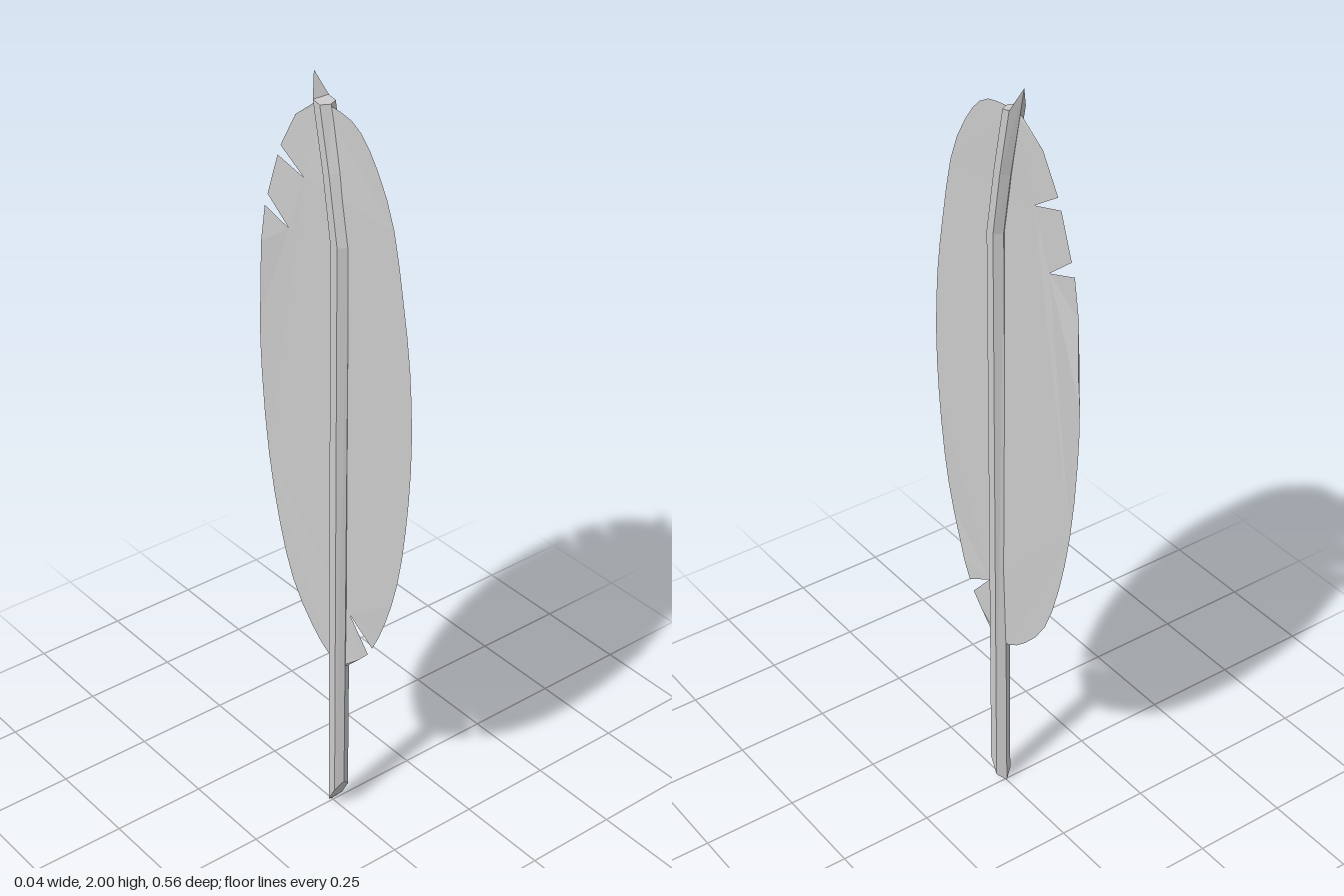
import * as THREE from 'three';

const material = new THREE.MeshStandardMaterial({ color: 0xcccccc, flatShading: true, side: THREE.DoubleSide });

// Outline runs as [z, y] between the torn notches
const frontEdge = [[-0.056, 1.93], [0, 1.935], [0.077, 1.92], [0.14, 1.86], [0.205, 1.74], [0.245, 1.565],
  [0.273, 1.395], [0.283, 1.21], [0.273, 1.025], [0.247, 0.84], [0.204, 0.69], [0.146, 0.57]];
const backEdge = [[0.13, 0.543], [0.045, 0.458], [0, 0.455], [-0.07, 0.5], [-0.157, 0.606], [-0.215, 0.765],
  [-0.257, 0.97], [-0.278, 1.21], [-0.273, 1.37], [-0.236, 1.618]];

function smoothRun(points) {
  return new THREE.SplineCurve(points.map(([z, y]) => new THREE.Vector2(z, y))).getPoints(points.length * 2);
}

function createVane() {
  const v = (z, y) => new THREE.Vector2(z, y);
  const outline = [
    ...smoothRun(frontEdge),
    v(0.06, 0.622),                       // lower notch
    ...smoothRun(backEdge),
    v(-0.151, 1.59), v(-0.225, 1.65),     // upper notches
    v(-0.188, 1.76), v(-0.098, 1.735),
    v(-0.177, 1.787), v(-0.125, 1.878),
  ];
  const geometry = new THREE.ShapeGeometry(new THREE.Shape(outline));
  const p = geometry.attributes.position;
  for (let i = 0; i < p.count; i++) {
    const z = p.getX(i), y = p.getY(i);
    // Torn barbs bend slightly out of the flat sheet
    let x = 0;
    if (z < -0.05 && y > 1.5) x = 0.05 * z;
    if (z > 0.05 && y < 0.65) x = 0.005;
    p.setXYZ(i, x, y, z);
  }
  geometry.computeVertexNormals();
  const vane = new THREE.Mesh(geometry, material);
  vane.name = 'vane';
  return vane;
}

// Hexagonal shaft: each ring gives [y, z] for front ridge, front side, back side, back ridge
function createShaft() {
  const w = 0.022;
  const rings = [
    [[0.09, 0.045], [0.065, 0.034], [0.02, 0.01], [0, -0.005]],
    [[1.62, 0.056], [1.62, 0.042], [1.62, 0.018], [1.62, 0.008]],
    [[1.79, 0.028], [1.785, 0.014], [1.78, -0.008], [1.775, -0.018]],
    [[1.94, -0.006], [1.94, -0.018], [1.945, -0.042], [2, -0.066]],
  ];
  const positions = [], index = [];
  for (const [front, frontSide, backSide, back] of rings) {
    const corners = [[0, front], [w, frontSide], [w, backSide], [0, back], [-w, backSide], [-w, frontSide]];
    for (const [x, [y, z]] of corners) positions.push(x, y, z);
  }
  for (let r = 0; r < rings.length - 1; r++) {
    for (let k = 0; k < 6; k++) {
      const a = r * 6 + k, b = r * 6 + (k + 1) % 6;
      index.push(a, b, b + 6, a, b + 6, a + 6);
    }
  }
  // Slanted end caps
  const t = (rings.length - 1) * 6;
  for (const [a, b, c] of [[0, 1, 5], [1, 2, 5], [2, 4, 5], [2, 3, 4]]) {
    index.push(a, c, b, t + a, t + b, t + c);
  }
  const geometry = new THREE.BufferGeometry();
  geometry.setAttribute('position', new THREE.Float32BufferAttribute(positions, 3));
  geometry.setIndex(index);
  geometry.computeVertexNormals();
  const shaft = new THREE.Mesh(geometry, material);
  shaft.name = 'shaft';
  return shaft;
}

export function createModel() {
  const feather = new THREE.Group();
  feather.name = 'feather';
  feather.add(createVane(), createShaft());
  return feather;
}
